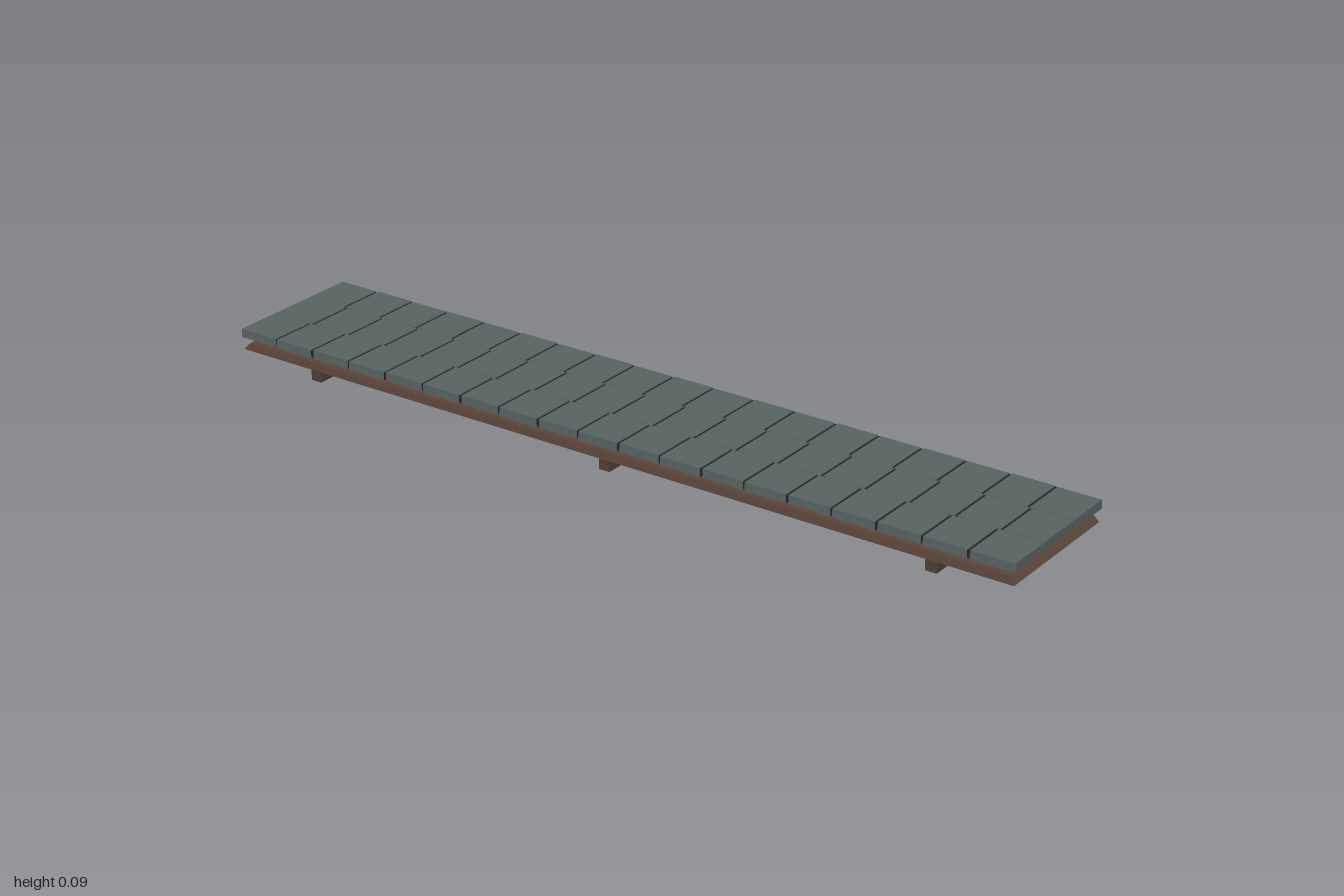
import * as THREE from 'three';

const slate = new THREE.MeshStandardMaterial({ color: 0x566160 });
const joint = new THREE.MeshStandardMaterial({ color: 0x1f2424 });
const boardWood = new THREE.MeshStandardMaterial({ color: 0x5b4438 });
const beamWood = new THREE.MeshStandardMaterial({ color: 0x4f3d33 });
slate.name = 'slate';
joint.name = 'darkJoint';
boardWood.name = 'boardWood';
beamWood.name = 'beamWood';

// Box whose top face is scaled in by a taper factor
function taperedBox(w, h, d, taper) {
  const g = new THREE.BoxGeometry(w, h, d);
  const p = g.attributes.position;
  for (let i = 0; i < p.count; i++) {
    if (p.getY(i) > 0) p.setXYZ(i, p.getX(i) * taper, p.getY(i), p.getZ(i) * taper);
  }
  g.computeVertexNormals();
  return g;
}

function add(parent, name, geometry, material, x, y, z) {
  const mesh = new THREE.Mesh(geometry, material);
  mesh.name = name;
  mesh.position.set(x, y, z);
  parent.add(mesh);
  return mesh;
}

export function createModel() {
  const model = new THREE.Group();
  model.name = 'pavedWalkway';

  // Cross beams underneath
  for (const x of [-0.8, 0, 0.8]) {
    add(model, 'crossBeam', new THREE.BoxGeometry(0.027, 0.031, 0.306), beamWood, x, 0.0155, 0);
  }

  // Deck board, slightly wider at the bottom
  add(model, 'deckBoard', taperedBox(1.994, 0.018, 0.344, 0.983), boardWood, 0, 0.045, 0);

  // Paving slabs: three rows, the middle one nudged along x
  const slabs = new THREE.Group();
  slabs.name = 'pavingSlabs';
  model.add(slabs);
  const columns = 19;
  const pitch = 2 / columns;
  const rows = [
    { z0: -0.177, z1: -0.0585, shift: 0 },
    { z0: -0.0585, z1: 0.0605, shift: 0.008 },
    { z0: 0.0605, z1: 0.177, shift: 0 },
  ];
  rows.forEach(({ z0, z1, shift }, r) => {
    for (let c = 0; c < columns; c++) {
      // End slabs stay flush with the ends of the walkway
      const x0 = c === 0 ? -1 : -1 + c * pitch + shift;
      const x1 = c === columns - 1 ? 1 : -1 + (c + 1) * pitch + shift;
      // Every other slab is a touch longer at the outer edges
      const trim = c % 2 ? 0 : 0.002;
      const a = z0 + (r === 0 ? trim : 0);
      const b = z1 - (r === 2 ? trim : 0);
      const left = x0 + (c === 0 ? 0 : 0.0025);
      const right = x1 - (c === columns - 1 ? 0 : 0.0025);
      add(slabs, 'slab', taperedBox(right - left, 0.02, b - a - 0.0005, 0.985), slate,
        (left + right) / 2, 0.076, (a + b) / 2);
      // Dark joint filling the gap to the next slab
      if (c < columns - 1) {
        add(slabs, 'joint', new THREE.BoxGeometry(0.0055, 0.017, b - a - 0.004), joint,
          x1, 0.076, (a + b) / 2);
      }
    }
  });

  return model;
}
